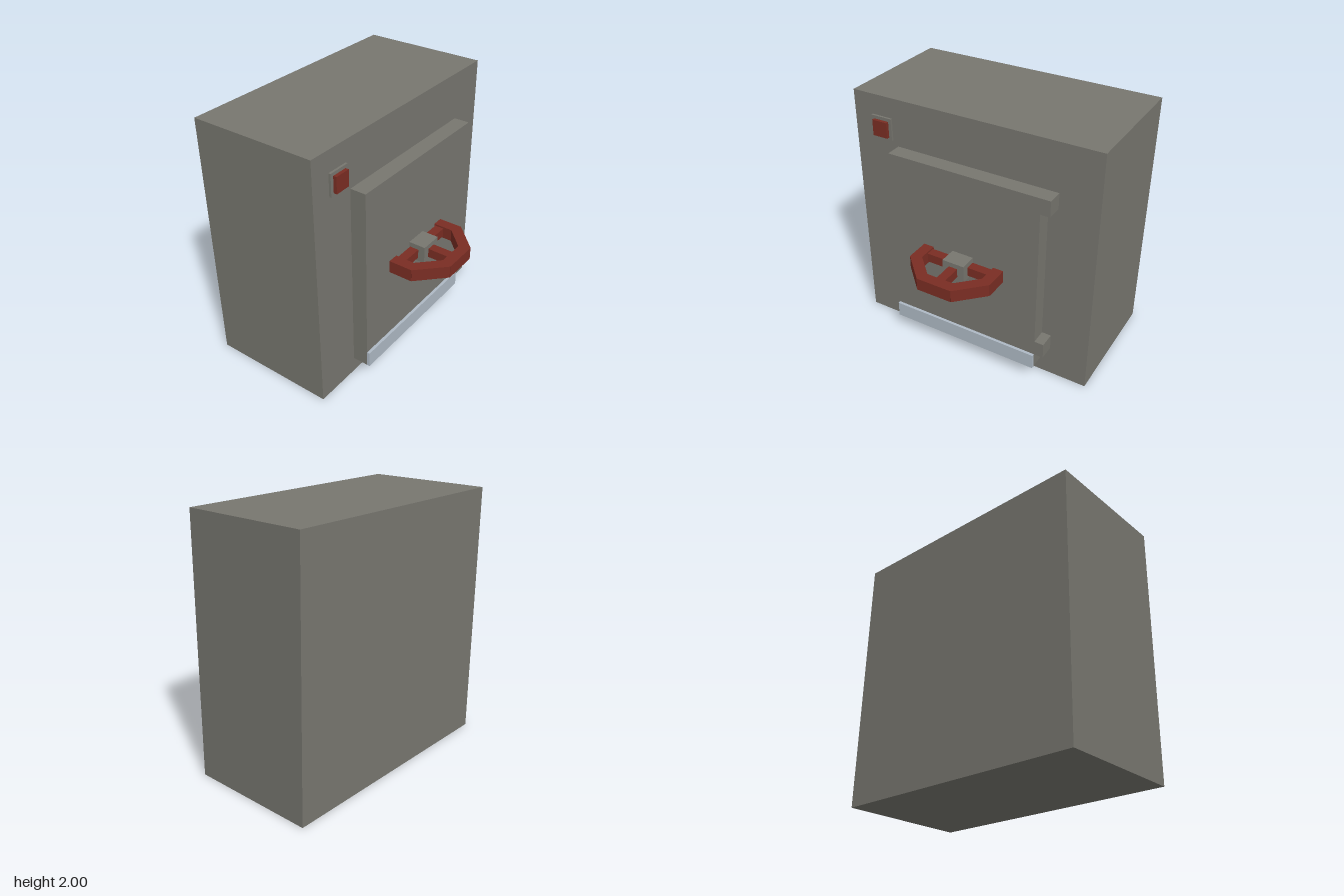
import * as THREE from 'three';

const material = (name, color) => {
  const m = new THREE.MeshStandardMaterial({ color });
  m.name = name;
  return m;
};

export function createModel() {
  const model = new THREE.Group();
  model.name = 'safe';
  const steel = material('grey steel', 0x77766f);
  const red = material('dark red', 0x7a2d23);
  const pale = material('pale blue metal', 0xaeb9c4);

  // Box given by its lower and upper limits on each axis
  const block = (name, mat, [x0, x1], [y0, y1], [z0, z1], parent = model) => {
    const mesh = new THREE.Mesh(new THREE.BoxGeometry(x1 - x0, y1 - y0, z1 - z0), mat);
    mesh.position.set((x0 + x1) / 2, (y0 + y1) / 2, (z0 + z1) / 2);
    mesh.name = name;
    parent.add(mesh);
    return mesh;
  };

  // Cabinet and raised door
  block('cabinet', steel, [-1, 1], [0, 2], [-0.76, 0.24]);
  block('door', steel, [-0.625, 0.62], [0.125, 1.625], [0.24, 0.365]);
  for (const y of [0.25, 1.5]) block('hinge', steel, [0.62, 0.695], [y, y + 0.125], [0.24, 0.365]);
  block('kickPlate', pale, [-0.625, 0.62], [0.125, 0.25], [0.365, 0.388]);

  // Push button on its backing plate
  block('buttonPlate', steel, [-0.84, -0.667], [1.667, 1.84], [0.24, 0.257]);
  block('button', red, [-0.815, -0.69], [1.69, 1.815], [0.257, 0.283]);

  // Horizontal octagonal handwheel, its rear half sunk into the door
  const wheel = new THREE.Group();
  wheel.name = 'handwheel';
  wheel.position.set(0, 0.878, 0.41);
  model.add(wheel);
  for (let i = -2; i <= 2; i++) {
    const segment = new THREE.Group();
    segment.name = 'rimSegment';
    segment.rotation.y = i * Math.PI / 4;
    wheel.add(segment);
    block('rim', red, [-0.141, 0.141], [-0.049, 0.049], [0.26, 0.345], segment);
    // Spokes on the front and the two sides
    if (i % 2 === 0) block('spoke', red, [-0.036, 0.036], [-0.036, 0.036], [0.05, 0.27], segment);
  }
  block('hub', steel, [-0.09, 0.09], [0.815, 0.952], [0.36, 0.5]);

  return model;
}
